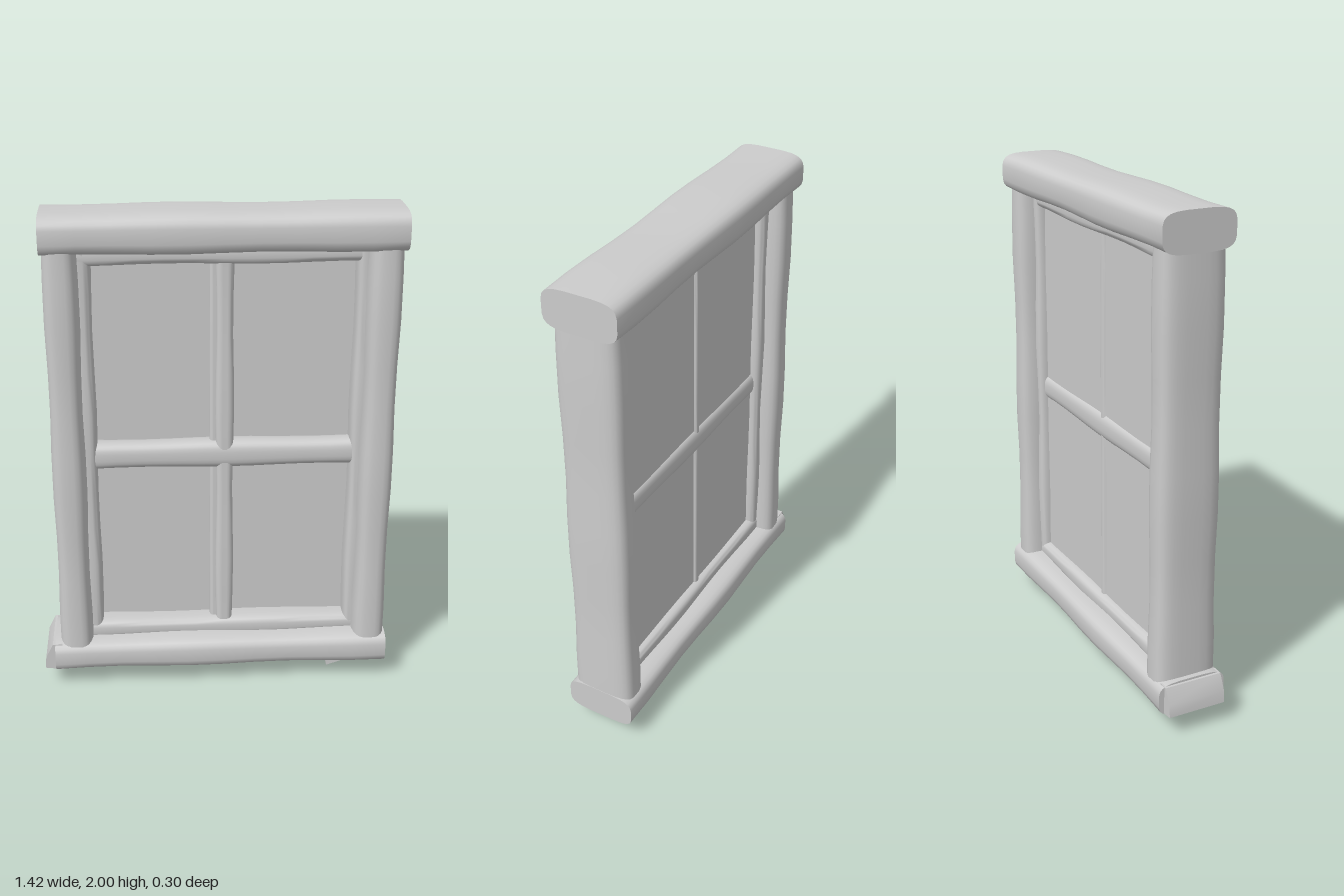
import * as THREE from 'three';
import { toCreasedNormals } from 'three/addons/utils/BufferGeometryUtils.js';

// Rounded cross-section (superellipse) with half sizes a, b
function section(a, b, power, n = 24) {
  const pts = [];
  for (let i = 0; i < n; i++) {
    const t = ((i + 0.5) / n) * Math.PI * 2;
    const c = Math.cos(t), s = Math.sin(t);
    pts.push(new THREE.Vector2(
      a * Math.sign(c) * Math.abs(c) ** (2 / power),
      b * Math.sign(s) * Math.abs(s) ** (2 / power)));
  }
  return new THREE.Shape(pts);
}

// Hand-hewn bar filling the given box; its long axis is 'x' or 'y'
function bar(name, material, axis, [x0, x1], [y0, y1], [z0, z1], power = 3.5, wobble = 0.006) {
  const along = axis === 'x';
  const length = along ? x1 - x0 : y1 - y0;
  const width = along ? y1 - y0 : x1 - x0;
  let g = new THREE.ExtrudeGeometry(section(width / 2, (z1 - z0) / 2, power),
    { depth: length, steps: 10, bevelEnabled: false });
  g.translate(0, 0, -length / 2);
  // Slight unevenness along the length
  const p = g.attributes.position;
  for (let i = 0; i < p.count; i++) {
    const s = p.getZ(i);
    const k = 1 - (wobble / width) * (1 + Math.sin(s * 9 + width * 40));
    p.setXY(i, p.getX(i) * k, p.getY(i) * (1 - (1 - k) * 0.6));
  }
  if (along) {
    g.applyMatrix4(new THREE.Matrix4().makeBasis(
      new THREE.Vector3(0, 1, 0), new THREE.Vector3(0, 0, 1), new THREE.Vector3(1, 0, 0)));
  } else {
    g.applyMatrix4(new THREE.Matrix4().makeBasis(
      new THREE.Vector3(1, 0, 0), new THREE.Vector3(0, 0, -1), new THREE.Vector3(0, 1, 0)));
  }
  g = toCreasedNormals(g, 0.9);
  const mesh = new THREE.Mesh(g, material);
  mesh.name = name;
  mesh.position.set((x0 + x1) / 2, (y0 + y1) / 2, (z0 + z1) / 2);
  return mesh;
}

export function createModel() {
  const plaster = new THREE.MeshStandardMaterial({ color: 0xcccccc });
  plaster.name = 'pale grey';
  const model = new THREE.Group();
  model.name = 'window';

  // Outer frame
  const frame = new THREE.Group();
  frame.name = 'frame';
  frame.add(
    bar('topRail', plaster, 'x', [-0.65, 0.71], [1.84, 2.0], [-0.15, 0.15], 4),
    bar('sill', plaster, 'x', [-0.67, 0.71], [0.07, 0.21], [-0.145, 0.145], 4),
    bar('rightJamb', plaster, 'y', [-0.65, -0.51], [0.14, 1.92], [-0.13, 0.13]),
    bar('leftJamb', plaster, 'y', [0.57, 0.71], [0.14, 1.92], [-0.13, 0.13]));

  // Worn, tapered end of the sill
  const sillEnd = new THREE.Mesh(toCreasedNormals(
    new THREE.ExtrudeGeometry(new THREE.Shape([
      new THREE.Vector2(-0.64, 0.08), new THREE.Vector2(-0.64, 0.2),
      new THREE.Vector2(-0.68, 0.2), new THREE.Vector2(-0.71, 0.14),
      new THREE.Vector2(-0.715, 0.09)]), { depth: 0.24, bevelEnabled: false }), 0.9), plaster);
  sillEnd.name = 'sillEnd';
  sillEnd.position.z = -0.12;
  frame.add(sillEnd);

  // Splinter hanging under the sill
  const splinter = new THREE.Mesh(
    new THREE.ExtrudeGeometry(new THREE.Shape([
      new THREE.Vector2(0.48, 0), new THREE.Vector2(0.71, 0.08), new THREE.Vector2(0.48, 0.09)]),
    { depth: 0.03, bevelEnabled: false }), plaster);
  splinter.name = 'splinter';
  frame.add(splinter);
  model.add(frame);

  // Inner sash and glazing bars
  const sash = new THREE.Group();
  sash.name = 'sash';
  const depth = [-0.07, 0.06];
  sash.add(
    bar('sashTop', plaster, 'x', [-0.53, 0.59], [1.785, 1.87], depth),
    bar('sashBottom', plaster, 'x', [-0.53, 0.59], [0.18, 0.265], depth),
    bar('sashRight', plaster, 'y', [-0.55, -0.465], [0.2, 1.85], depth),
    bar('sashLeft', plaster, 'y', [0.535, 0.61], [0.2, 1.85], depth),
    bar('crossBar', plaster, 'x', [-0.5, 0.57], [0.95, 1.065], [-0.05, 0.05], 3),
    bar('mullion', plaster, 'y', [0, 0.075], [0.22, 1.83], [-0.025, 0.05], 3),
    bar('mullionBack', plaster, 'y', [-0.022, 0.02], [0.22, 1.83], [-0.045, 0.02], 3, 0.001));
  model.add(sash);

  // Four panes
  const panes = new THREE.Group();
  panes.name = 'panes';
  for (const [x0, x1] of [[-0.49, 0], [0, 0.56]]) {
    for (const [y0, y1] of [[0.23, 1.01], [1.01, 1.82]]) {
      const pane = new THREE.Mesh(new THREE.BoxGeometry(x1 - x0, y1 - y0, 0.008), plaster);
      pane.name = 'pane';
      pane.position.set((x0 + x1) / 2, (y0 + y1) / 2, -0.03);
      panes.add(pane);
    }
  }
  model.add(panes);
  return model;
}
